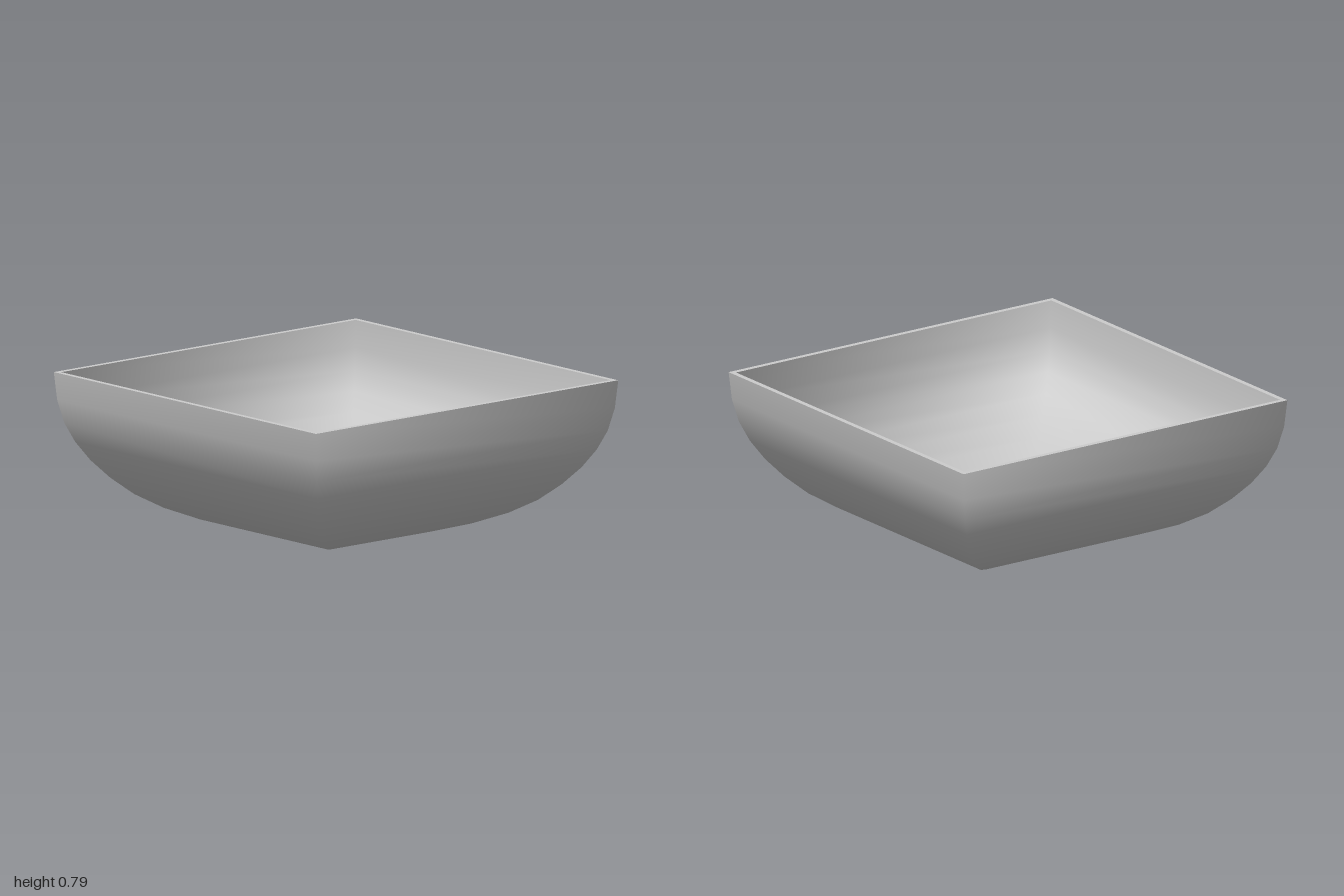
import * as THREE from 'three';

// Four-sided lathe: profile points are [half width, height], corners share smooth normals
function squareLathe(name, profile, material) {
  const pts = profile.map(([w, y]) => new THREE.Vector2(w * Math.SQRT2, y));
  const geo = new THREE.LatheGeometry(pts, 4, Math.PI / 4);
  geo.normalizeNormals();
  const mesh = new THREE.Mesh(geo, material);
  mesh.name = name;
  return mesh;
}

export function createModel() {
  const group = new THREE.Group();
  group.name = 'squareBowl';
  const material = new THREE.MeshStandardMaterial({ color: 0xcccccc });

  // Side profile from the flat base up to the rim
  const height = 0.787, wall = 0.027;
  const outer = [
    [0, 0], [0.335, 0], [0.48, 0.045], [0.61, 0.102], [0.715, 0.17], [0.80, 0.252],
    [0.87, 0.34], [0.924, 0.432], [0.963, 0.53], [0.988, 0.645], [1, height],
  ];
  // Inner skin, offset by the wall thickness
  const inner = outer
    .map(([w, y]) => [w * (1 - wall), y + wall * (1 - y / height)])
    .reverse();

  group.add(squareLathe('outerShell', outer, material));
  group.add(squareLathe('rim', [[1, height], [1 - wall, height]], material));
  group.add(squareLathe('innerShell', inner, material));
  return group;
}
